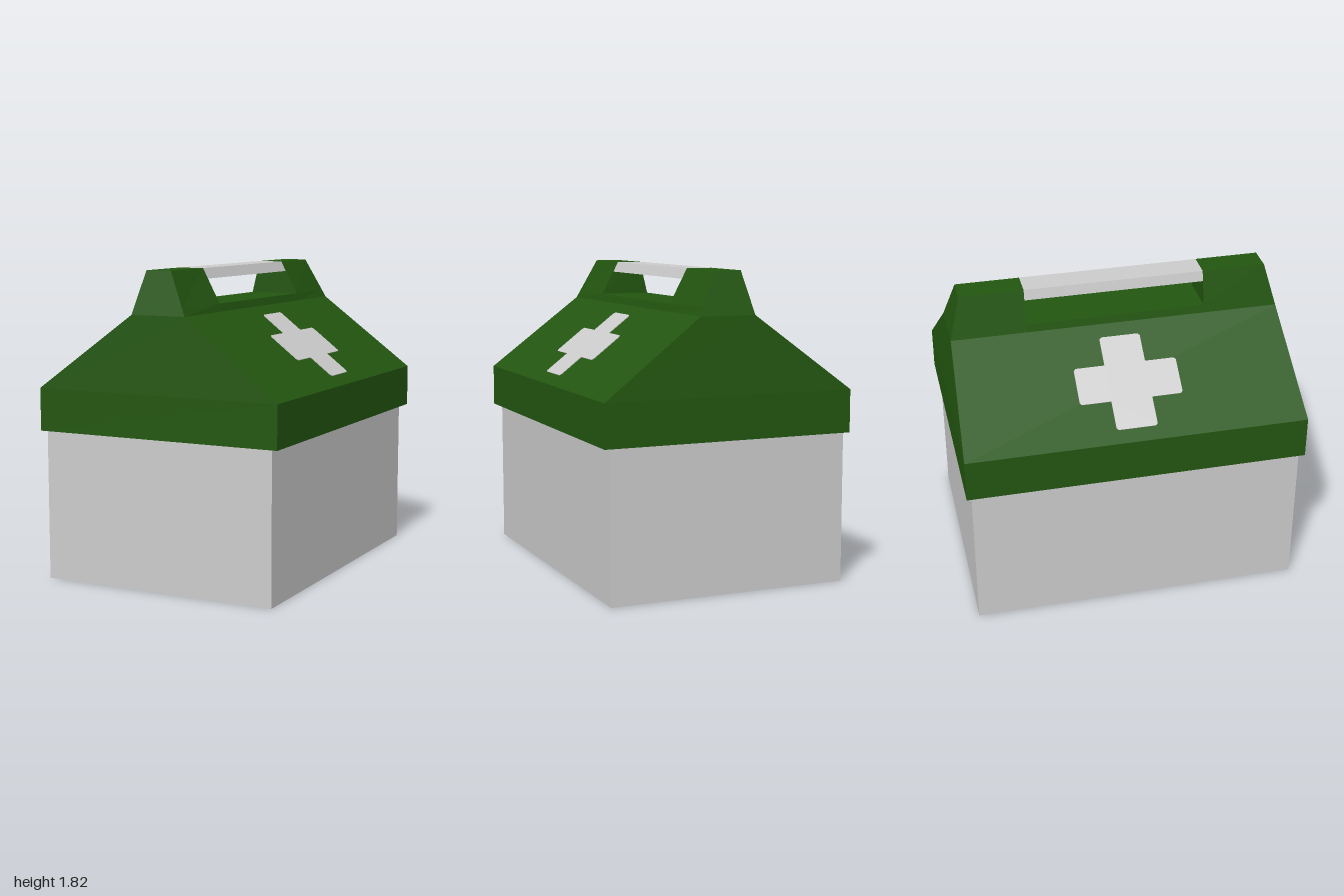
import * as THREE from 'three';

// One four-cornered ring at height y; the +x edge may differ between its two z ends
const ring = (y, x0, x1, z0, z1, x1AtZ0 = x1, x1AtZ1 = x1) =>
  [[x0, y, z1], [x1AtZ1, y, z1], [x1AtZ0, y, z0], [x0, y, z0]];

// Closed solid through rings stacked from bottom to top
function loft(rings) {
  const pos = [];
  const quad = (a, b, c, d) => pos.push(...a, ...b, ...c, ...a, ...c, ...d);
  for (let k = 0; k < rings.length - 1; k++) {
    const lo = rings[k], hi = rings[k + 1];
    for (let i = 0; i < 4; i++) {
      const j = (i + 1) % 4;
      quad(lo[i], lo[j], hi[j], hi[i]);
    }
  }
  const bottom = rings[0], top = rings[rings.length - 1];
  quad(bottom[3], bottom[2], bottom[1], bottom[0]);
  quad(top[0], top[1], top[2], top[3]);
  const geo = new THREE.BufferGeometry();
  geo.setAttribute('position', new THREE.Float32BufferAttribute(pos, 3));
  geo.computeVertexNormals();
  return geo;
}

// Cross outline with slightly clipped corners: u runs along z, v runs up the slope
function crossShape(endU, armU, endV, armV) {
  const c = 0.012;
  const quarter = [[endU, armV - c], [endU - c, armV], [armU, armV], [armU, endV - c], [armU - c, endV]];
  const flipped = [...quarter].reverse();
  const pts = [
    ...quarter,
    ...flipped.map(([u, v]) => [-u, v]),
    ...quarter.map(([u, v]) => [-u, -v]),
    ...flipped.map(([u, v]) => [u, -v]),
  ];
  return new THREE.Shape(pts.map(([u, v]) => new THREE.Vector2(u, v)));
}

export function createModel() {
  const model = new THREE.Group();
  model.name = 'toolbox';

  const green = new THREE.MeshStandardMaterial({ color: 0x235610 });
  green.name = 'dark green';
  const white = new THREE.MeshStandardMaterial({ color: 0xcccccc });
  white.name = 'off white';

  const add = (name, geo, mat) => {
    const mesh = new THREE.Mesh(geo, mat);
    mesh.name = name;
    model.add(mesh);
    return mesh;
  };

  // Box body
  add('body', new THREE.BoxGeometry(1.44, 0.88, 1.94), white).position.set(-0.01, 0.44, 0);

  // Lid: overhanging rim and sloped roof
  add('lid', loft([
    ring(0.88, -0.755, 0.755, -1, 1),
    ring(1.13, -0.755, 0.755, -1, 1),
    ring(1.57, -0.155, 0.18, -0.97, 0.97),
  ]), green);

  // Ridge under the grip
  add('ridge', loft([
    ring(1.57, -0.155, 0.18, -0.53, 0.53),
    ring(1.615, -0.145, 0.167, -0.53, 0.53),
  ]), green);

  // Handle posts, the +x face bulging a little toward the grip
  const levels = [
    [1.57, -0.155, 0.18, 0.18, 0.97],
    [1.615, -0.144, 0.167, 0.158, 0.958],
    [1.815, -0.095, 0.06, 0.06, 0.905],
  ];
  add('frontHandlePost', loft(levels.map(([y, x0, inner, outer, z]) =>
    ring(y, x0, inner, 0.53, z, inner, outer))), green);
  add('backHandlePost', loft(levels.map(([y, x0, inner, outer, z]) =>
    ring(y, x0, inner, -z, -0.53, outer, inner))), green);

  // Grip bar between the posts
  add('grip', loft([
    ring(1.755, -0.11, 0.09, -0.53, 0.53),
    ring(1.815, -0.095, 0.06, -0.53, 0.53),
  ]), white);

  // Crosses lying on both slopes
  const addCross = (name, side, ridgeX, endV) => {
    const eave = new THREE.Vector3(side * 0.755, 1.13, 0);
    const up = new THREE.Vector3(ridgeX, 1.57, 0).sub(eave).normalize();
    const along = new THREE.Vector3(0, 0, -side);
    const normal = along.clone().cross(up);
    const geo = new THREE.ExtrudeGeometry(crossShape(0.302, 0.12, endV, 0.112),
      { depth: 0.004, bevelEnabled: false });
    const mesh = add(name, geo, white);
    mesh.quaternion.setFromRotationMatrix(new THREE.Matrix4().makeBasis(along, up, normal));
    mesh.position.copy(eave).addScaledVector(up, 0.082 + endV).addScaledVector(normal, 0.001);
  };
  addCross('leftCross', 1, 0.18, 0.281);
  addCross('rightCross', -1, -0.155, 0.288);

  return model;
}
